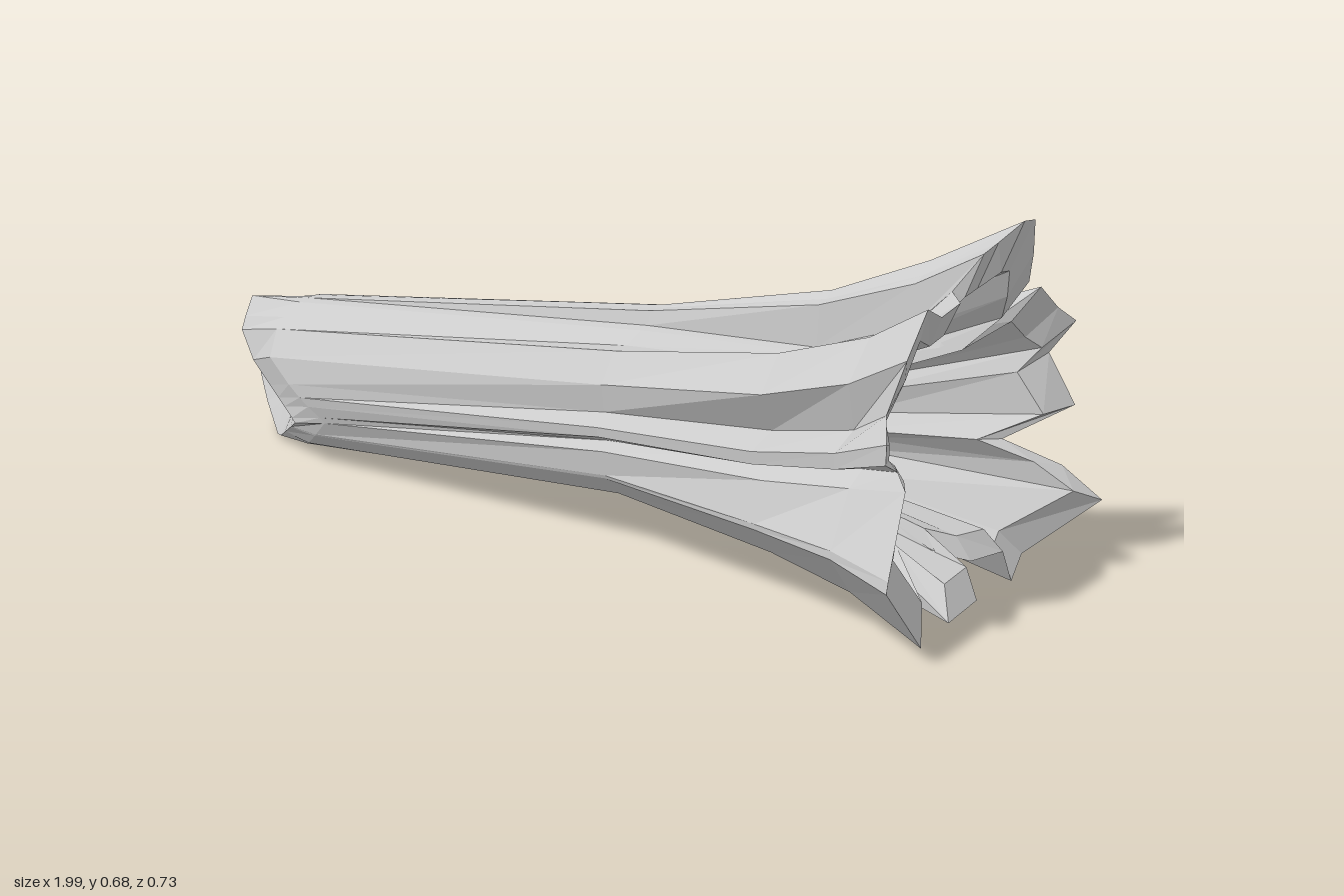
import * as THREE from 'three';

// Root rim, counter-clockwise seen from +x: [z, y, x]
const RIM = [
  [-0.045, 0.645, 0.88], [-0.01, 0.63, 0.87], [0.0, 0.56, 0.82], [0.03, 0.55, 0.85],
  [0.1, 0.54, 0.85], [0.175, 0.57, 0.86], [0.265, 0.505, 0.87], [0.27, 0.41, 0.84],
  [0.325, 0.38, 0.87], [0.325, 0.345, 0.87], [0.22, 0.3, 0.84], [0.25, 0.28, 0.87],
  [0.36, 0.165, 0.9], [0.365, 0.145, 0.9], [0.27, 0.025, 0.92], [0.17, 0.1, 0.83],
  [0.19, 0.045, 0.93], [0.08, 0.05, 0.93], [0.06, 0.11, 0.84], [0.0, 0.085, 0.88],
  [-0.09, 0.08, 0.9], [-0.135, 0.01, 0.9], [-0.175, 0.05, 0.9], [-0.29, 0.14, 1.0],
  [-0.265, 0.2, 0.93], [-0.2, 0.25, 0.84], [-0.335, 0.295, 0.92], [-0.32, 0.39, 0.87],
  [-0.365, 0.445, 0.9], [-0.325, 0.475, 0.88], [-0.24, 0.53, 0.88], [-0.15, 0.47, 0.82],
  [-0.185, 0.55, 0.88], [-0.15, 0.61, 0.9], [-0.125, 0.675, 0.91], [-0.08, 0.68, 0.91],
];

// Corners of the slanted break at the narrow end, in the same order
const BREAK = [
  [-0.03, 0.318, -0.83], [0.0, 0.32, -0.82], [0.06, 0.24, -0.8], [0.11, 0.1, -0.6],
  [-0.03, 0.0, -0.78], [-0.18, 0.06, -0.97], [-0.21, 0.18, -1.0], [-0.155, 0.205, -0.94],
  [-0.08, 0.23, -0.8],
];

// Trunk sections: x, centre y, centre z, flare towards the rim, depth of the folds
const COLLAR = [-0.68, 0.17, -0.045, 0.01, 0];
const SECTIONS = [
  [0.2, 0.253, -0.02, 0.12, 0.018],
  [0.57, 0.278, 0, 0.38, 0.05],
  [0.75, 0.295, -0.01, 0.64, 0.03],
];
const TRUNK_RADIUS = 0.16;
const TURN = Math.PI * 2;

const toVector = ([z, y, x]) => new THREE.Vector3(x, y, z);

// Angle of a rim point around the trunk, twisting along the front
function trunkAngle([rz, ry], flare) {
  const dz = rz + 0.02, dy = ry - 0.3;
  return Math.atan2(dz, dy) + 0.3 * (1 - flare) * Math.max(0, dz / Math.hypot(dz, dy));
}

// One cross-section of the trunk, running from a round log to the lobed roots
function section([x, cy, cz, flare, fold]) {
  return RIM.map((point) => {
    const rimRadius = Math.hypot(point[0] + 0.02, point[1] - 0.3);
    const angle = trunkAngle(point, flare);
    const r = THREE.MathUtils.lerp(TRUNK_RADIUS, rimRadius, flare) - (point[2] < 0.86 ? fold : 0);
    return new THREE.Vector3(x, cy + r * Math.cos(angle), cz + r * Math.sin(angle));
  });
}

// The break outline, sampled along its straight edges once per rim point
function breakRing() {
  const corners = BREAK.map(toVector);
  const angles = corners.map((p) => THREE.MathUtils.euclideanModulo(Math.atan2(p.z + 0.05, p.y - 0.16), TURN));
  return RIM.map((point) => {
    const angle = THREE.MathUtils.euclideanModulo(trunkAngle(point, 0), TURN);
    // Angles before the first corner belong to the last edge
    const i = (angles.findLastIndex((a) => a <= angle) + corners.length) % corners.length;
    const j = (i + 1) % corners.length;
    const span = THREE.MathUtils.euclideanModulo(angles[j] - angles[i], TURN);
    const along = THREE.MathUtils.euclideanModulo(angle - angles[i], TURN);
    return corners[i].clone().lerp(corners[j], along / span);
  });
}

// Flat-shaded skin between successive rings
function loft(name, rings, material) {
  const positions = [];
  const push = (...points) => points.forEach((p) => positions.push(p.x, p.y, p.z));
  for (let k = 0; k < rings.length - 1; k++) {
    const a = rings[k], b = rings[k + 1];
    for (let i = 0; i < a.length; i++) {
      const j = (i + 1) % a.length;
      push(a[i], a[j], b[i]);
      push(a[j], b[j], b[i]);
    }
  }
  const geometry = new THREE.BufferGeometry();
  geometry.setAttribute('position', new THREE.Float32BufferAttribute(positions, 3));
  geometry.computeVertexNormals();
  const mesh = new THREE.Mesh(geometry, material);
  mesh.name = name;
  return mesh;
}

// Ring pulled towards a centre, with its own x rule
const shrink = (ring, cy, cz, scale, xOf) => ring.map((p) => new THREE.Vector3(
  xOf(p), cy + (p.y - cy) * scale, cz + (p.z - cz) * scale));

export function createModel() {
  const group = new THREE.Group();
  group.name = 'fallenLog';
  const material = new THREE.MeshStandardMaterial({
    color: 0xcccccc, flatShading: true, side: THREE.DoubleSide,
  });

  const end = breakRing();
  // The collar keeps the notch of the break short
  const collar = section(COLLAR);
  collar.forEach((p, i) => { p.x = Math.max(p.x, end[i].x + 0.08); });
  const rim = RIM.map(toVector);
  group.add(loft('bark', [end, collar, ...SECTIONS.map(section), rim], material));

  // Shallow hollow in the broken end
  const splinters = shrink(end, 0.14, -0.06, 0.7, (p) => THREE.MathUtils.lerp(p.x, -0.72, 0.35));
  const endCore = shrink(end, 0.14, -0.06, 0, () => -0.7);
  group.add(loft('brokenEnd', [endCore, splinters, end], material));

  // Thick root tips and the deep hollow between them
  const lip = shrink(rim, 0.27, 0, 0.78, (p) => p.x - 0.03);
  const throat = shrink(rim, 0.25, 0, 0.42, () => 0.58);
  const rootCore = shrink(rim, 0.2, 0, 0, () => 0.3);
  group.add(loft('rootHollow', [rim, lip, throat, rootCore], material));

  return group;
}
